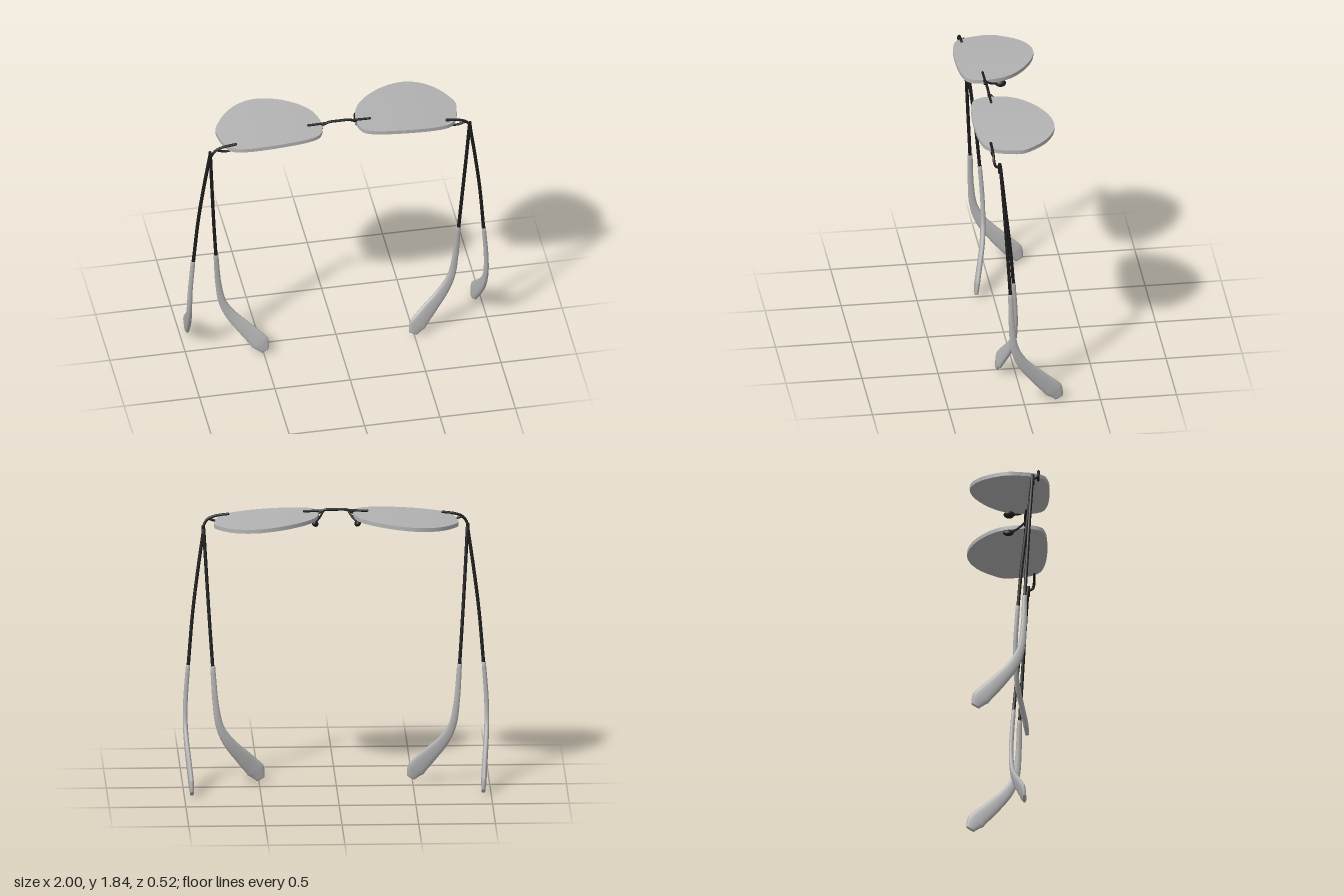
import * as THREE from 'three';
import { mergeGeometries } from 'three/addons/utils/BufferGeometryUtils.js';

const V = (x, y, z) => new THREE.Vector3(x, y, z);

// Skin a list of closed rings (equal point counts) with smooth quads
function loft(rings) {
  const n = rings[0].length, pos = [], idx = [];
  for (const r of rings) for (const p of r) pos.push(p.x, p.y, p.z);
  for (let i = 0; i < rings.length - 1; i++) {
    for (let j = 0; j < n; j++) {
      const k = (j + 1) % n, a = i * n + j, b = i * n + k, c = a + n, d = b + n;
      idx.push(a, b, c, b, d, c);
    }
  }
  const g = new THREE.BufferGeometry();
  g.setAttribute('position', new THREE.Float32BufferAttribute(pos, 3));
  g.setIndex(idx);
  g.computeVertexNormals();
  return g;
}

// Sweep an oval along stations [x, y, z, halfWidth, halfThickness]; flat is the thin direction
function sweep(stations, flat, steps) {
  const curve = new THREE.CatmullRomCurve3(stations.map((s) => V(s[0], s[1], s[2])));
  const rings = [];
  const last = stations.length - 1;
  for (let i = 0; i <= steps; i++) {
    const u = i / steps, f = u * last, k = Math.min(Math.floor(f), last - 1);
    const w = THREE.MathUtils.lerp(stations[k][3], stations[k + 1][3], f - k);
    const t = THREE.MathUtils.lerp(stations[k][4], stations[k + 1][4], f - k);
    const P = curve.getPoint(u), T = curve.getTangent(u);
    const N = flat.clone().addScaledVector(T, -flat.dot(T)).normalize();
    const B = T.clone().cross(N);
    const ring = (q) => Array.from({ length: 16 }, (_, j) => {
      const a = (j / 16) * Math.PI * 2;
      const c = Math.cos(a), s = Math.sin(a);
      return P.clone()
        .addScaledVector(N, Math.sign(c) * Math.abs(c) ** 0.8 * t * q)
        .addScaledVector(B, Math.sign(s) * Math.abs(s) ** 0.8 * w * q);
    });
    if (i === 0) rings.push(ring(0));
    rings.push(ring(1));
    if (i === steps) rings.push(ring(0));
  }
  return loft(rings);
}

// Round wire with rounded ends
function wire(points, r) {
  const curve = new THREE.CatmullRomCurve3(points);
  const ends = [points[0], points[points.length - 1]].map((p) =>
    new THREE.SphereGeometry(r, 10, 8).translate(p.x, p.y, p.z));
  return mergeGeometries([new THREE.TubeGeometry(curve, 40, r, 10), ...ends]);
}

// Lens outline as [x, z]
const OUTLINE = [
  [0.50, -0.263], [0.36, -0.228], [0.22, -0.135], [0.145, -0.04], [0.115, 0.07], [0.12, 0.16],
  [0.15, 0.215], [0.22, 0.243], [0.35, 0.257], [0.5, 0.258], [0.63, 0.245], [0.72, 0.215],
  [0.765, 0.155], [0.788, 0.07], [0.795, -0.02], [0.76, -0.095], [0.69, -0.185], [0.60, -0.243],
];
const lensTop = (x) => 1.812 - 0.04 * ((Math.abs(x) - 0.1) / 0.69) ** 2;

function lensGeometry(s) {
  let pts = new THREE.CatmullRomCurve3(OUTLINE.map(([x, z]) => V(x * s, 0, z)), true).getPoints(72);
  pts.pop();
  if (s < 0) pts = pts.reverse();
  const ring = (q, drop) => pts.map((p) => {
    const x = s * 0.46 + (p.x - s * 0.46) * q;
    return V(x, lensTop(x) - drop, p.z * q);
  });
  const scales = [0, 0.2, 0.4, 0.6, 0.8, 1];
  const top = loft(scales.map((q) => ring(q, 0)).reverse());
  const rim = loft([ring(1, 0.026), ring(1, 0)]);
  const under = loft(scales.map((q) => ring(q, 0.026)));
  return mergeGeometries([under, rim, top]);
}

export function createModel() {
  const group = new THREE.Group();
  const black = new THREE.MeshStandardMaterial({ color: 0x1c1c1c });
  black.name = 'black metal';
  const grey = new THREE.MeshStandardMaterial({ color: 0xb2b2b2 });
  grey.name = 'light grey';
  const add = (name, geometry, material) => {
    const m = new THREE.Mesh(geometry, material);
    m.name = name;
    group.add(m);
    return m;
  };

  // Arched bridge between the lenses
  add('bridge', wire([V(-0.125, 1.80, 0.11), V(-0.1, 1.815, 0.11), V(-0.07, 1.828, 0.11), V(0, 1.83, 0.11),
    V(0.07, 1.828, 0.11), V(0.1, 1.815, 0.11), V(0.125, 1.80, 0.11)], 0.009), black);

  for (const s of [1, -1]) {
    const side = s > 0 ? 'left' : 'right';
    const P = (x, y, z) => V(s * x, y, z);
    const mir = (list) => list.map(([x, ...rest]) => [s * x, ...rest]);

    add(side + 'Lens', lensGeometry(s), grey);

    // Clamps gripping the inner lens edge
    add(side + 'BridgeClampTop', wire([P(0.08, 1.823, 0.11), P(0.205, 1.82, 0.11)], 0.008), black);
    add(side + 'BridgeClampUnder', wire([P(0.115, 1.785, 0.11), P(0.19, 1.778, 0.11)], 0.008), black);

    // Nose pad and its arm
    add(side + 'NosePadArm', wire([P(0.085, 1.815, 0.105), P(0.105, 1.79, 0.07), P(0.135, 1.768, 0.02)], 0.007), black);
    const pad = add(side + 'NosePad', new THREE.SphereGeometry(1, 16, 12).scale(0.02, 0.026, 0.036), black);
    pad.position.set(s * 0.14, 1.768, 0);
    pad.rotation.z = -s * 0.7;

    // End piece from the lens to the hinge
    add(side + 'EndPiece', wire([P(0.7, 1.788, 0.18), P(0.785, 1.776, 0.18), P(0.828, 1.758, 0.18),
      P(0.853, 1.728, 0.179), P(0.862, 1.703, 0.17), P(0.863, 1.692, 0.145)], 0.009), black);
    add(side + 'EndClampUnder', wire([P(0.72, 1.745, 0.18), P(0.775, 1.742, 0.18), P(0.828, 1.758, 0.18)], 0.008), black);
    const hinge = add(side + 'Hinge', new THREE.CylinderGeometry(0.011, 0.011, 0.07, 12), black);
    hinge.position.set(s * 0.862, 1.685, 0.143);

    // Opened temple
    const wOut = V(1, 0, 0), wIn = V(0, 0, 1);
    add(side + 'OpenTemple', sweep(mir([
      [0.86, 1.7, 0.14, 0.011, 0.011], [0.9, 1.42, 0.122, 0.011, 0.011],
      [0.933, 1.15, 0.107, 0.011, 0.011], [0.964, 0.78, 0.087, 0.011, 0.011]]), wOut, 24), black);
    add(side + 'OpenTempleTip', sweep(mir([
      [0.964, 0.8, 0.087, 0.016, 0.014], [0.981, 0.56, 0.08, 0.02, 0.015],
      [0.983, 0.41, 0.062, 0.026, 0.016], [0.977, 0.3, 0.013, 0.038, 0.017],
      [0.965, 0.18, -0.09, 0.052, 0.018], [0.954, 0.07, -0.198, 0.062, 0.018],
      [0.95, 0.012, -0.235, 0.03, 0.012]]), wOut, 48), grey);

    // Folded temple
    add(side + 'FoldedTemple', sweep(mir([
      [0.86, 1.7, 0.14, 0.011, 0.011], [0.842, 1.38, 0.105, 0.011, 0.011],
      [0.822, 1.05, 0.068, 0.011, 0.011], [0.804, 0.78, 0.045, 0.011, 0.011]]), wIn, 24), black);
    add(side + 'FoldedTempleTip', sweep(mir([
      [0.805, 0.8, 0.046, 0.016, 0.014], [0.785, 0.54, 0.03, 0.02, 0.015],
      [0.757, 0.39, 0.032, 0.026, 0.016], [0.7, 0.285, 0.044, 0.038, 0.017],
      [0.605, 0.175, 0.074, 0.052, 0.018], [0.523, 0.08, 0.102, 0.062, 0.018],
      [0.49, 0.02, 0.112, 0.03, 0.012]]), wIn, 48), grey);
  }
  return group;
}
